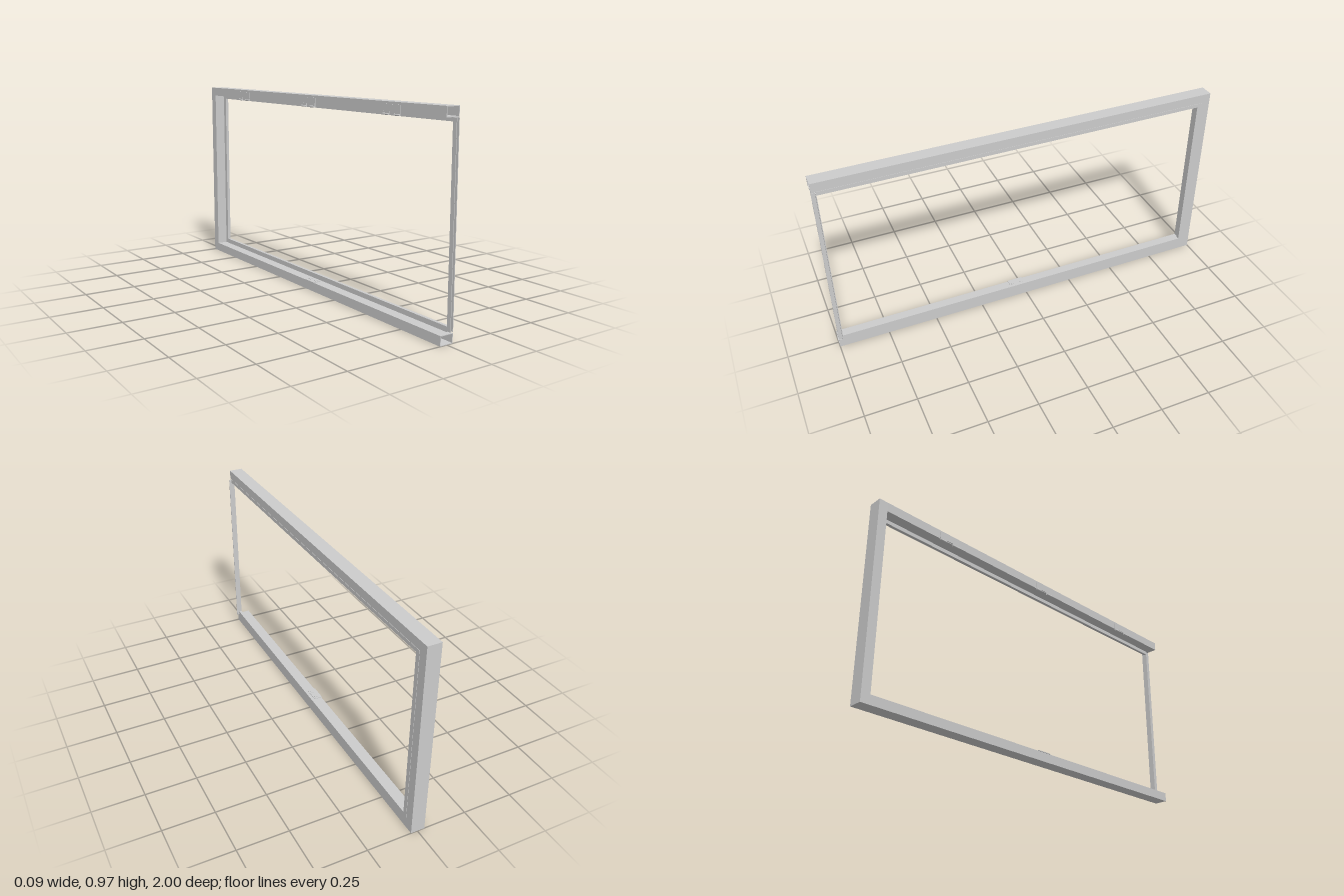
import * as THREE from 'three';

const H = 0.973;               // overall height
const X0 = -0.036, X1 = 0.0325; // tube width limits
const T = 0.045;               // tube depth
const WALL = 0.003;

export function createModel() {
  const model = new THREE.Group();
  const mat = new THREE.MeshStandardMaterial({ color: 0xcccccc });

  const add = (name, geometry, parent = model) => {
    const mesh = new THREE.Mesh(geometry, mat);
    mesh.name = name;
    parent.add(mesh);
    return mesh;
  };

  // Box given by its limits on each axis
  const block = (name, [xa, xb], [ya, yb], [za, zb], parent) => {
    const mesh = add(name, new THREE.BoxGeometry(xb - xa, yb - ya, zb - za), parent);
    mesh.position.set((xa + xb) / 2, (ya + yb) / 2, (za + zb) / 2);
    return mesh;
  };

  const rectangle = (Path, xa, xb, ya, yb) => new Path([
    new THREE.Vector2(xa, ya), new THREE.Vector2(xb, ya),
    new THREE.Vector2(xb, yb), new THREE.Vector2(xa, yb),
  ]);

  // Hollow rails, open at the front end
  const rail = (name, y) => {
    const shape = rectangle(THREE.Shape, X0, X1, y, y + T);
    shape.holes.push(rectangle(THREE.Path, X0 + WALL, X1 - WALL, y + WALL, y + T - WALL));
    const geometry = new THREE.ExtrudeGeometry(shape, { depth: 2 - T, bevelEnabled: false });
    add(name, geometry).position.z = -1 + T;
  };
  rail('bottomRail', 0);
  rail('topRail', H - T);
  block('rearPost', [X0, X1], [0, H], [-1, -1 + T]);

  // Stop bead round the inside of the opening
  const bead = [0.018, 0.034];
  block('bottomBead', bead, [T, 0.069], [-1 + T, 0.98]);
  block('topBead', bead, [0.909, H - T], [-1 + T, 0.98]);
  block('rearBead', bead, [0.069, 0.909], [-1 + T, -0.932]);

  // Slim front post: a channel facing forward with an outer flange
  const post = new THREE.Group();
  post.name = 'frontPost';
  model.add(post);
  const span = [0.049, 0.925];
  block('innerLip', [0.018, 0.0205], span, [0.98, 1], post);
  block('outerLip', [0.031, 0.0335], span, [0.98, 1], post);
  block('web', [0.018, 0.047], span, [0.979, 0.9825], post);

  // Hinge clips: a plate with two curled hooks
  for (const z of [-0.6, 0.038, 0.672]) {
    const clip = new THREE.Group();
    clip.name = 'hingeClip';
    clip.position.z = z;
    model.add(clip);
    block('clipPlate', [-0.0395, X0], [0.932, 0.962], [-0.055, 0.055], clip);
    for (const side of [-1, 1]) {
      const dz = side * 0.037;
      block('clipTab', [-0.041, -0.038], [0.918, 0.934], [dz - 0.018, dz + 0.018], clip);
      const curl = add('clipCurl', new THREE.CylinderGeometry(0.0042, 0.0042, 0.036, 12), clip);
      curl.rotation.x = Math.PI / 2;
      curl.position.set(-0.0432, 0.92, dz);
    }
  }

  // Catch plate on the lower rail, with two small raised tongues
  const latch = new THREE.Group();
  latch.name = 'catchPlate';
  latch.position.z = 0.038;
  model.add(latch);
  block('plate', [-0.039, 0.004], [T, 0.048], [-0.04, 0.04], latch);
  for (const side of [-1, 1]) {
    block('tongue', [-0.02, -0.004], [0.048, 0.05], [side * 0.022 - 0.008, side * 0.022 + 0.008], latch);
  }

  return model;
}
